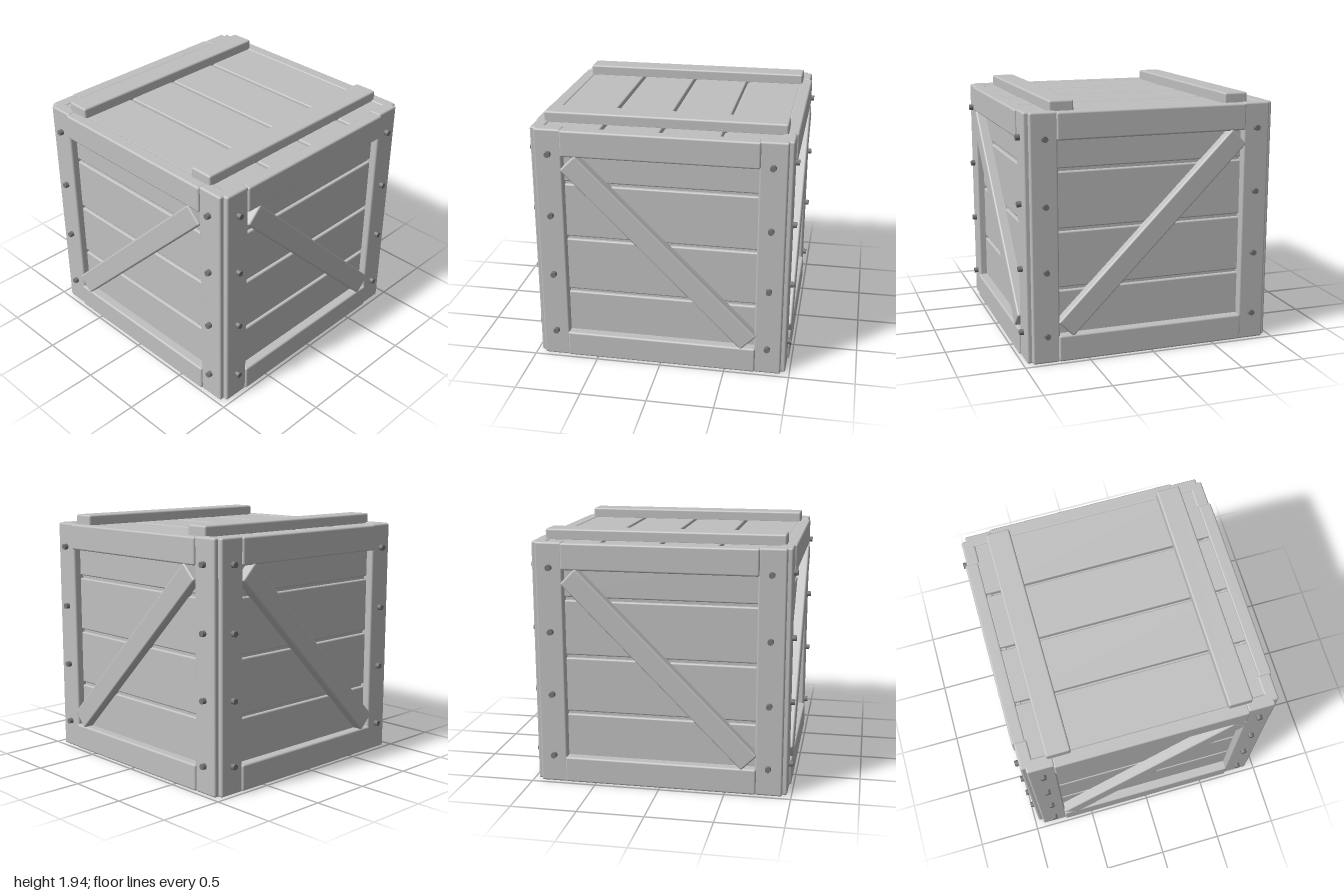
import * as THREE from 'three';
import { RoundedBoxGeometry } from 'three/addons/geometries/RoundedBoxGeometry.js';

const wood = new THREE.MeshStandardMaterial({ color: 0xc0c0c0 });
wood.name = 'light grey board';
const metal = new THREE.MeshStandardMaterial({ color: 0x777777 });
metal.name = 'dark grey bolt';

// Rounded board given by its minimum and maximum corners
function board(name, min, max, radius = 0.015) {
  const size = max.map((v, i) => v - min[i]);
  const mesh = new THREE.Mesh(new RoundedBoxGeometry(...size, 2, radius), wood);
  mesh.position.set(...max.map((v, i) => (v + min[i]) / 2));
  mesh.name = name;
  return mesh;
}

// One framed wall, facing +z; slope is +1 or -1 for the direction of the brace
function createWall(name, slope) {
  const wall = new THREE.Group();
  wall.name = name;

  // Horizontal planks with narrow gaps
  const edges = [0.1, 0.545, 0.99, 1.435, 1.84];
  for (let i = 0; i < 4; i++) {
    wall.add(board('wallPlank', [-0.8, edges[i] + 0.012, 0.84], [0.8, edges[i + 1] - 0.012, 0.91], 0.012));
  }

  // Rails
  wall.add(board('bottomRail', [-0.735, 0.005, 0.88], [0.735, 0.205, 0.982]));
  wall.add(board('topRail', [-0.735, 1.66, 0.88], [0.735, 1.862, 0.982]));

  // Corner posts and their bolts
  for (const side of [-1, 1]) {
    const xs = [0.725 * side, 0.932 * side].sort((a, b) => a - b);
    wall.add(board('cornerPost', [xs[0], 0, 0.87], [xs[1], 1.865, 0.968]));
    for (let i = 0; i < 4; i++) {
      const bolt = new THREE.Mesh(new THREE.CylinderGeometry(0.022, 0.025, 0.06, 10), metal);
      bolt.rotation.x = Math.PI / 2;
      bolt.position.set(0.825 * side, 0.215 + i * 0.487, 0.97);
      bolt.name = 'bolt';
      wall.add(bolt);
    }
  }

  // Diagonal brace
  const brace = board('diagonalBrace', [-0.965, -0.083, 0.89], [0.965, 0.083, 0.988]);
  brace.position.y = 0.935;
  brace.rotation.z = slope * Math.PI / 4;
  wall.add(brace);
  return wall;
}

export function createModel() {
  const crate = new THREE.Group();
  crate.name = 'crate';

  // Solid core seen through the gaps and underneath
  crate.add(board('core', [-0.885, 0.025, -0.885], [0.885, 1.815, 0.885], 0.01));

  // Four walls with mirrored braces on neighbouring sides
  ['frontWall', 'rightWall', 'backWall', 'leftWall'].forEach((name, i) => {
    const wall = createWall(name, i % 2 ? -1 : 1);
    wall.rotation.y = i * Math.PI / 2;
    crate.add(wall);
  });

  // Lid planks
  const edges = [-0.9, -0.45, 0, 0.44, 0.9];
  for (let i = 0; i < 4; i++) {
    crate.add(board('lidPlank', [-0.89, 1.79, edges[i] + 0.012], [0.89, 1.857, edges[i + 1] - 0.012], 0.012));
  }

  // Lid battens
  for (const x of [-0.68, 0.68]) {
    crate.add(board('lidBatten', [x - 0.092, 1.845, -0.907], [x + 0.092, 1.937, 0.907]));
  }
  return crate;
}
